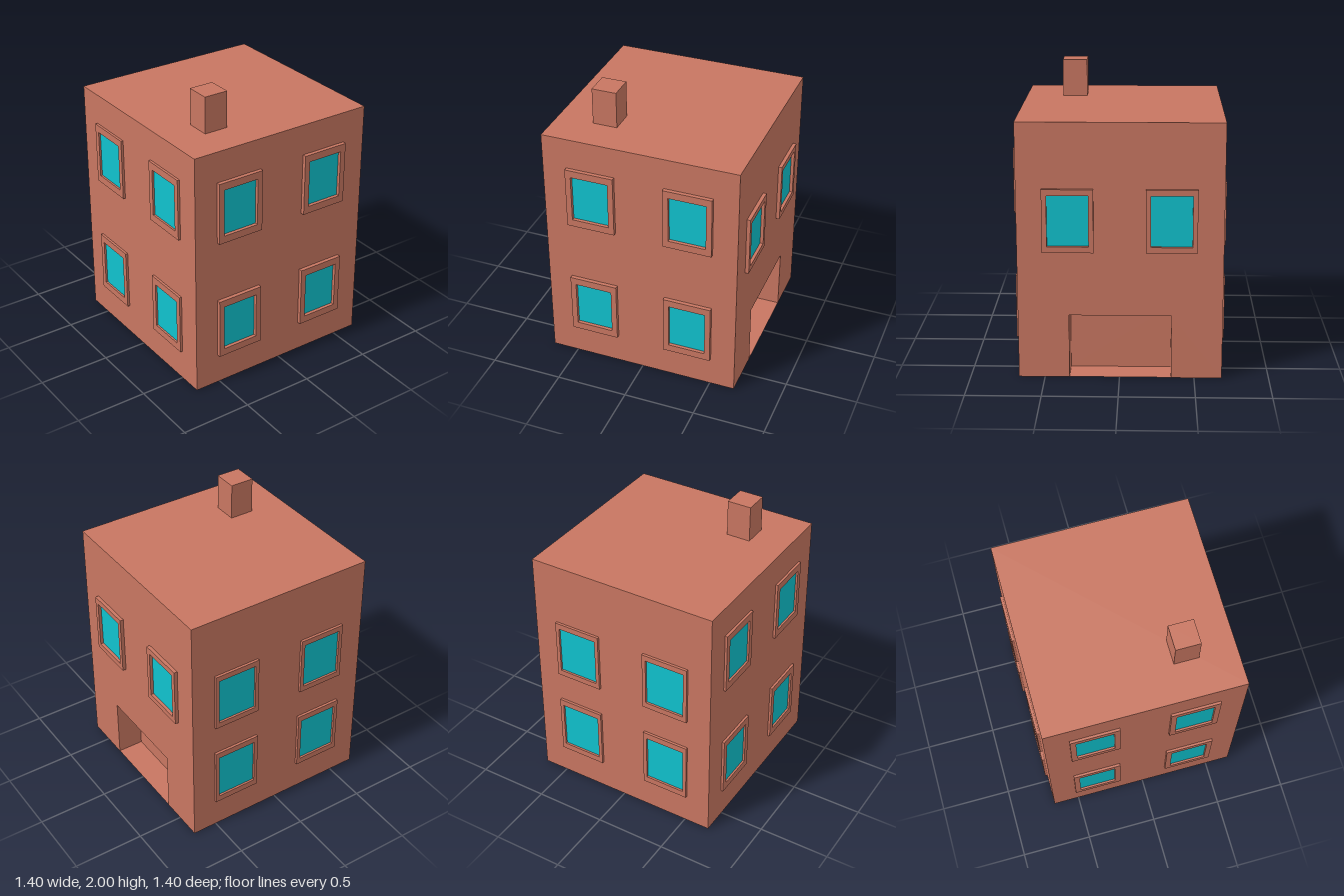
import * as THREE from 'three';

const brick = new THREE.MeshStandardMaterial({ color: 0xc87661 });
const glassMat = new THREE.MeshStandardMaterial({ color: 0x10c2ce });

// Extents of the house and of the doorway recess in its left (+x) wall
const X0 = -0.685, X1 = 0.675, Z0 = -0.685, Z1 = 0.675, H = 1.745;
const DZ0 = -0.345, DZ1 = 0.335, DH = 0.44, DX = 0.49;

function mesh(name, geometry, material = brick) {
  const m = new THREE.Mesh(geometry, material);
  m.name = name;
  return m;
}

// Flat panel from corners listed counter-clockwise as seen from its front
function panel(name, ...corners) {
  const g = new THREE.BufferGeometry();
  g.setAttribute('position', new THREE.Float32BufferAttribute(corners.flat(), 3));
  g.setIndex([0, 1, 2, 0, 2, 3]);
  g.computeVertexNormals();
  return mesh(name, g);
}

// Raised frame with a pane set back inside it, facing +z
function makeWindow(w, h, gw, gh, depth) {
  const rect = (P, a, b) => new P([[-a, -b], [a, -b], [a, b], [-a, b]].map(p => new THREE.Vector2(p[0] / 2, p[1] / 2)));
  const shape = rect(THREE.Shape, w, h);
  shape.holes.push(rect(THREE.Path, gw, gh));
  const win = new THREE.Group();
  win.name = 'window';
  const pane = mesh('glass', new THREE.PlaneGeometry(gw, gh), glassMat);
  pane.position.z = 0.003;
  win.add(mesh('windowFrame', new THREE.ExtrudeGeometry(shape, { depth, bevelEnabled: false })), pane);
  return win;
}

export function createModel() {
  const house = new THREE.Group();
  house.name = 'house';

  // Outer walls, roof and underside
  house.add(
    panel('frontWall', [X0, 0, Z1], [X1, 0, Z1], [X1, H, Z1], [X0, H, Z1]),
    panel('backWall', [X1, 0, Z0], [X0, 0, Z0], [X0, H, Z0], [X1, H, Z0]),
    panel('rightWall', [X0, 0, Z0], [X0, 0, Z1], [X0, H, Z1], [X0, H, Z0]),
    panel('roof', [X0, H, Z1], [X1, H, Z1], [X1, H, Z0], [X0, H, Z0]),
    panel('underside', [X0, 0, Z0], [X1, 0, Z0], [X1, 0, Z1], [X0, 0, Z1]),
  );

  // Left wall, notched for the doorway (shape x runs along -z)
  const outline = [[-Z1, 0], [-DZ1, 0], [-DZ1, DH], [-DZ0, DH], [-DZ0, 0], [-Z0, 0], [-Z0, H], [-Z1, H]];
  const leftWall = mesh('leftWall', new THREE.ShapeGeometry(new THREE.Shape(outline.map(p => new THREE.Vector2(...p)))));
  leftWall.rotation.y = Math.PI / 2;
  leftWall.position.x = X1;
  house.add(leftWall);

  // Doorway recess
  const f = 0.002;
  house.add(
    panel('doorwayBack', [DX, 0, DZ1], [DX, 0, DZ0], [DX, DH, DZ0], [DX, DH, DZ1]),
    panel('doorwayFrontSide', [X1, 0, DZ1], [DX, 0, DZ1], [DX, DH, DZ1], [X1, DH, DZ1]),
    panel('doorwayRearSide', [DX, 0, DZ0], [X1, 0, DZ0], [X1, DH, DZ0], [DX, DH, DZ0]),
    panel('doorwayCeiling', [DX, DH, DZ0], [X1, DH, DZ0], [X1, DH, DZ1], [DX, DH, DZ1]),
    panel('doorwayFloor', [DX, f, DZ1], [X1, f, DZ1], [X1, f, DZ0], [DX, f, DZ0]),
  );

  // Chimney
  const chimney = mesh('chimney', new THREE.BoxGeometry(0.17, 2 - H, 0.17));
  chimney.position.set(-0.345, (2 + H) / 2, 0.335);
  house.add(chimney);

  // Windows: wall angle, wall distance, frame depth, pane size, [centre height, frame height] per row
  const walls = [
    { name: 'front', turn: 0, dist: Z1, depth: 0.027, pane: [0.26, 0.332], cols: [-0.347, 0.335], rows: [[0.438, 0.435], [1.312, 0.435]] },
    { name: 'left', turn: 1, dist: X1, depth: 0.025, pane: [0.272, 0.345], cols: [-0.338, 0.342], rows: [[1.093, 0.427]] },
    { name: 'back', turn: 2, dist: -Z0, depth: 0.018, pane: [0.285, 0.345], cols: [-0.337, 0.346], rows: [[0.438, 0.435], [1.093, 0.427]] },
    { name: 'right', turn: 3, dist: -X0, depth: 0.017, pane: [0.26, 0.332], cols: [-0.347, 0.335], rows: [[0.438, 0.435], [1.312, 0.435]] },
  ];
  for (const { name, turn, dist, depth, pane, cols, rows } of walls) {
    const set = new THREE.Group();
    set.name = name + 'Windows';
    set.rotation.y = turn * Math.PI / 2;
    for (const u of cols) for (const [y, h] of rows) {
      const win = makeWindow(0.338, h, ...pane, depth);
      win.position.set(u, y, dist);
      set.add(win);
    }
    house.add(set);
  }
  return house;
}
